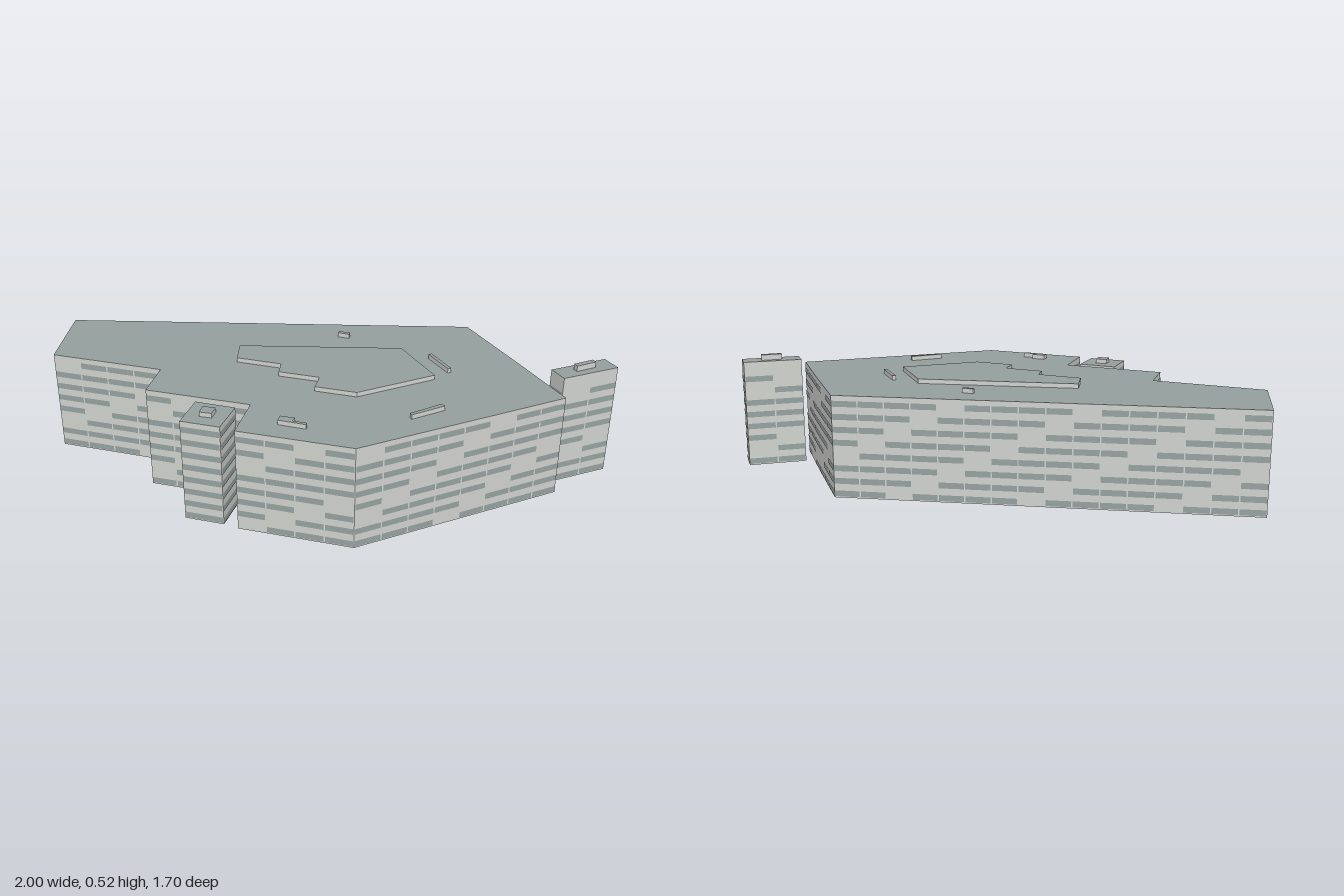
import * as THREE from 'three';
import { mergeGeometries } from 'three/addons/utils/BufferGeometryUtils.js';

const wallMat = new THREE.MeshStandardMaterial({ name: 'pale concrete', color: 0xd2d4d0, side: THREE.DoubleSide });
const roofMat = new THREE.MeshStandardMaterial({ name: 'grey green roof', color: 0x95a19f, side: THREE.DoubleSide });
const glassMat = new THREE.MeshStandardMaterial({ name: 'grey green glass', color: 0x97a3a1 });

const FLOOR = 0.0565; // storey height
const PANEL = 0.115;  // window bay width

// Upright rectangle between two plan points, facing outward
function upright(x, z, angle, width, height, y) {
  return new THREE.PlaneGeometry(width, height).rotateY(angle).translate(x, y, z);
}

// Visit each edge of a plan outline (counterclockwise seen from above)
function eachEdge(plan, visit) {
  plan.forEach(([ax, az], k) => {
    const [bx, bz] = plan[(k + 1) % plan.length];
    const length = Math.hypot(bx - ax, bz - az);
    visit({ ax, az, dx: (bx - ax) / length, dz: (bz - az) / length, length, k });
  });
}

function mesh(geometry, material, name) {
  const m = new THREE.Mesh(geometry, material);
  m.name = name;
  return m;
}

// Hollow block: walls and a flat roof, open underneath
function block(name, plan, y0, y1) {
  const group = new THREE.Group();
  group.name = name;
  const walls = [];
  eachEdge(plan, ({ ax, az, dx, dz, length }) => {
    walls.push(upright(ax + dx * length / 2, az + dz * length / 2,
      Math.atan2(-dz, dx), length, y1 - y0, (y0 + y1) / 2));
  });
  group.add(mesh(mergeGeometries(walls), wallMat, name + 'Walls'));
  const shape = new THREE.Shape(plan.map(([x, z]) => new THREE.Vector2(x, -z)));
  const roof = new THREE.ShapeGeometry(shape).rotateX(-Math.PI / 2).translate(0, y1, 0);
  group.add(mesh(roof, roofMat, name + 'Roof'));
  return group;
}

// Window bands, with blank bays stepping diagonally from floor to floor
function windows(name, plan, height) {
  const panes = [];
  const rows = Math.floor(height / FLOOR + 0.1);
  eachEdge(plan, ({ ax, az, dx, dz, length, k }) => {
    const bays = Math.max(1, Math.round(length / PANEL));
    const width = length / bays;
    for (let row = 0; row < rows; row++) {
      for (let bay = 0; bay < bays; bay++) {
        if (bays > 1 && (bay + 5 * 10 - row + k * 2) % 5 === 0) continue;
        const s = (bay + 0.5) * width;
        panes.push(upright(ax + dx * s - dz * 0.002, az + dz * s + dx * 0.002,
          Math.atan2(-dz, dx), width - 0.006, 0.026, 0.019 + row * FLOOR));
      }
    }
  });
  return mesh(mergeGeometries(panes), glassMat, name);
}

export function createModel() {
  const model = new THREE.Group();
  model.name = 'officeComplex';

  // Main hall and two detached stair towers
  const buildings = [
    ['mainBuilding', 0.45, [[-1, 0.585], [-0.735, 0.845], [-0.31, 0.575], [-0.195, 0.725], [0.185, 0.48],
      [0.31, 0.655], [0.71, 0.395], [0.975, -0.515], [0.62, -0.625], [0.25, -0.735]]],
    ['frontTower', 0.45, [[0.02, 0.63], [0.11, 0.77], [0.25, 0.68], [0.165, 0.54]]],
    ['backTower', 0.495, [[0.83, -0.6], [0.915, -0.575], [1, -0.825], [0.915, -0.85]]],
  ];
  for (const [name, height, plan] of buildings) {
    model.add(block(name, plan, 0, height));
    model.add(windows(name + 'Windows', plan, height));
  }

  // Raised roof over the core, and small rooftop housings
  const rooftop = [
    ['raisedRoof', 0.45, 0.47, [[-0.245, 0.2], [-0.155, 0.285], [0.015, 0.18], [0.065, 0.235], [0.215, 0.14],
      [0.265, 0.21], [0.415, 0.115], [0.515, -0.235], [0.24, -0.315]]],
    ['leftVent', 0.45, 0.47, [[-0.07, -0.23], [-0.06, -0.215], [-0.015, -0.24], [-0.025, -0.255]]],
    ['backVent', 0.45, 0.47, [[0.36, -0.36], [0.51, -0.32], [0.515, -0.335], [0.365, -0.375]]],
    ['sideVent', 0.45, 0.47, [[0.675, 0.075], [0.69, 0.08], [0.725, -0.07], [0.705, -0.075]]],
    ['frontVent', 0.45, 0.47, [[0.36, 0.47], [0.38, 0.5], [0.48, 0.44], [0.472, 0.428], [0.42, 0.46], [0.41, 0.437]]],
    ['frontTowerHousing', 0.45, 0.47, [[0.1, 0.65], [0.13, 0.69], [0.172, 0.66], [0.145, 0.62]]],
    ['backTowerHousing', 0.495, 0.52, [[0.888, -0.672], [0.91, -0.664], [0.937, -0.755], [0.915, -0.763]]],
  ];
  for (const [name, y0, y1, plan] of rooftop) model.add(block(name, plan, y0, y1));

  return model;
}
